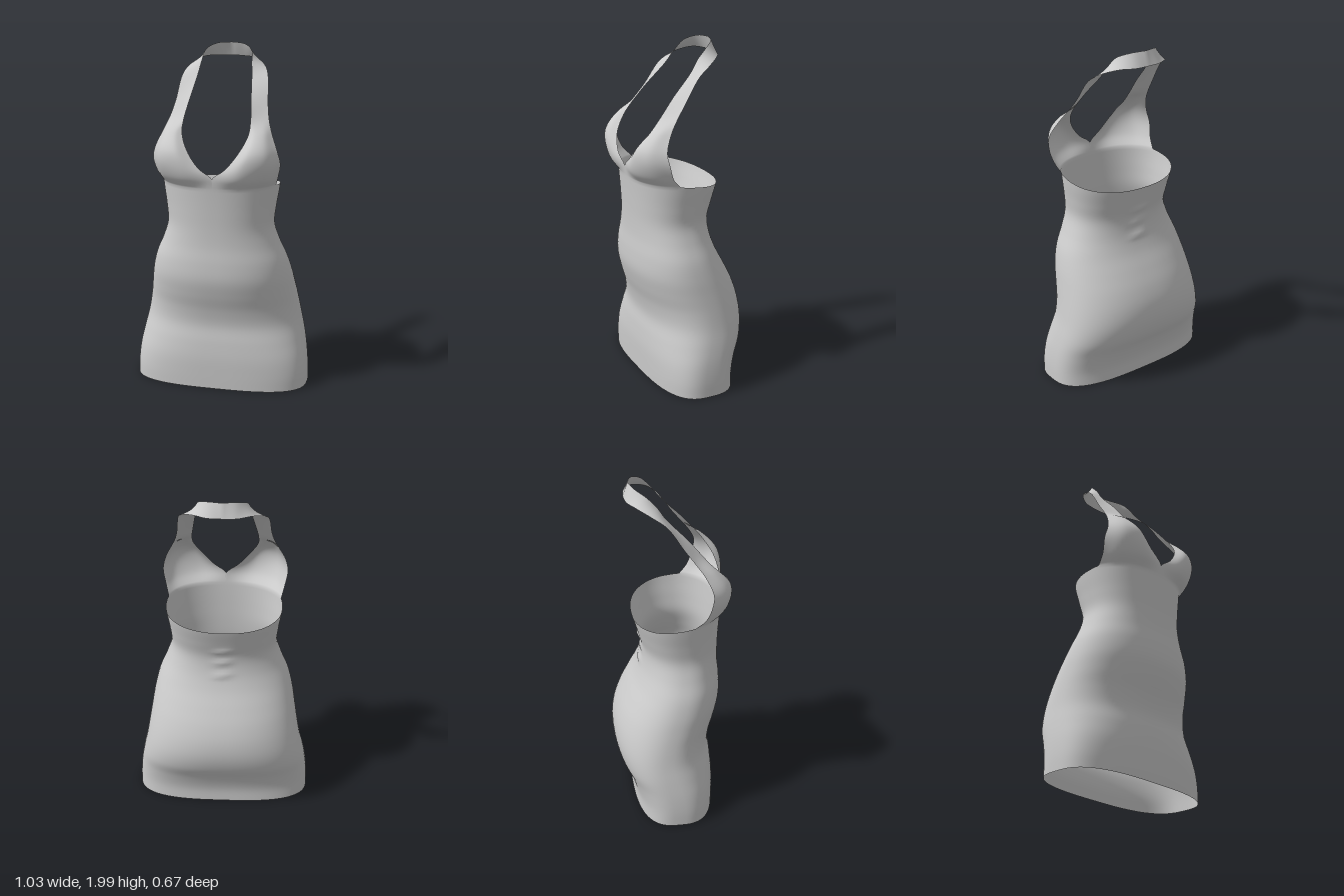
import * as THREE from 'three';
import { mergeVertices } from 'three/addons/utils/BufferGeometryUtils.js';

const V = (x, y, z) => new THREE.Vector3(x, y, z);
const COLS = 96;      // columns around the body
const ROWS = 64;      // rows up the body
const ARM = 20;       // column where the armhole starts
const CHEST = 1.25;   // height where the halter top begins

// Body sections every 0.1 in height: half width, front z, back z
const profile = new THREE.CatmullRomCurve3([
  [0.517, 0.24, -0.23], [0.515, 0.243, -0.232], [0.505, 0.244, -0.262], [0.487, 0.237, -0.312],
  [0.465, 0.226, -0.335], [0.447, 0.242, -0.33], [0.43, 0.272, -0.3], [0.412, 0.294, -0.252],
  [0.385, 0.294, -0.2], [0.342, 0.285, -0.167], [0.311, 0.284, -0.16], [0.318, 0.288, -0.186],
  [0.333, 0.294, -0.215], [0.345, 0.302, -0.235],
].map((p) => V(...p)), false, 'catmullrom', 0.5);

// Point on the body: angle 0 is the front, a quarter turn is the left side
function bodyPoint(angle, y) {
  const { x: w, y: front, z: back } = profile.getPoint(y / 1.3);
  const n = 2.25 + 0.65 * (1 - THREE.MathUtils.smoothstep(y, 0.05, 0.55));
  const bend = (v) => Math.sign(v) * Math.abs(v) ** (2 / n);
  const p = V(w * bend(Math.sin(angle)), y, (front + back) / 2 + ((front - back) / 2) * bend(Math.cos(angle)));
  // small gathers at the middle of the back
  if (p.z < 0) {
    for (const h of [0.89, 0.97, 1.05]) {
      p.z -= 0.012 * Math.exp(-((p.x / 0.05) ** 2) - ((y - h) / 0.016) ** 2);
    }
  }
  return p;
}

// Top edge: level at the front, dipping to the middle of the back
function topEdge(i) {
  const k = Math.min(i, COLS - i);
  return k <= ARM ? CHEST : CHEST - 0.05 * Math.sin(((k - ARM) / (COLS / 2 - ARM)) * Math.PI / 2);
}

// Halter top, left half: rows from neckline to armhole, ending at the back of the neck
const halterRows = [
  [[0, 1.31, 0.305], [0.16, 1.31, 0.322], [0.29, 1.31, 0.26], [0.348, 1.305, 0.165]],
  [[0.075, 1.37, 0.31], [0.18, 1.39, 0.335], [0.295, 1.395, 0.295], [0.365, 1.39, 0.195]],
  [[0.145, 1.46, 0.285], [0.205, 1.465, 0.318], [0.29, 1.465, 0.29], [0.35, 1.46, 0.205]],
  [[0.188, 1.55, 0.225], [0.225, 1.55, 0.243], [0.275, 1.55, 0.225], [0.312, 1.55, 0.165]],
  [[0.19, 1.62, 0.17], [0.285, 1.62, 0.115]],
  [[0.175, 1.72, 0.085], [0.267, 1.7, 0.055]],
  [[0.156, 1.84, -0.03], [0.25, 1.83, -0.035]],
  [[0.145, 1.91, -0.08], [0.222, 1.88, -0.11]],
  [[0.135, 1.965, -0.135], [0.155, 1.915, -0.195]],
  [[0.08, 1.995, -0.195], [0.08, 1.918, -0.237]],
  [[0, 2, -0.22], [0, 1.92, -0.247]],
].map((row) => new THREE.CatmullRomCurve3(row.map((p) => V(...p))));

// Adds a grid of points as triangles, facing outward
function addGrid(positions, nu, nv, pointAt, flip = false) {
  const grid = [];
  for (let i = 0; i <= nu; i++) {
    grid.push([]);
    for (let j = 0; j <= nv; j++) grid[i].push(pointAt(i, j));
  }
  for (let i = 0; i < nu; i++) {
    for (let j = 0; j < nv; j++) {
      const [a, b, c, d] = [grid[i][j], grid[i + 1][j], grid[i + 1][j + 1], grid[i][j + 1]];
      const corners = flip ? [a, c, b, a, d, c] : [a, b, c, a, c, d];
      corners.forEach((p) => positions.push(p.x, p.y, p.z));
    }
  }
}

export function createModel() {
  const group = new THREE.Group();
  group.name = 'halterDress';
  const positions = [];

  // Skirt and waist
  addGrid(positions, COLS, ROWS, (i, j) => {
    const y = THREE.MathUtils.lerp(0.01, topEdge(i), j / ROWS);
    return bodyPoint((i / COLS) * Math.PI * 2, y);
  });

  // Cups, straps and neck band, mirrored
  const columns = [];
  for (let k = 0; k <= ARM; k++) {
    columns.push(new THREE.CatmullRomCurve3([
      bodyPoint((k / COLS) * Math.PI * 2, CHEST),
      ...halterRows.map((row) => row.getPoint(k / ARM)),
    ]));
  }
  for (const side of [1, -1]) {
    addGrid(positions, ARM, 66, (k, j) => {
      const p = columns[k].getPoint(j / 66);
      p.x *= side;
      return p;
    }, side < 0);
  }

  // One welded, smooth cloth surface
  let geometry = new THREE.BufferGeometry();
  geometry.setAttribute('position', new THREE.Float32BufferAttribute(positions, 3));
  geometry = mergeVertices(geometry, 1e-4);
  geometry.computeVertexNormals();

  const cloth = new THREE.MeshStandardMaterial({ color: 0xcccccc, side: THREE.DoubleSide });
  const dress = new THREE.Mesh(geometry, cloth);
  dress.name = 'dress';
  group.add(dress);
  return group;
}
